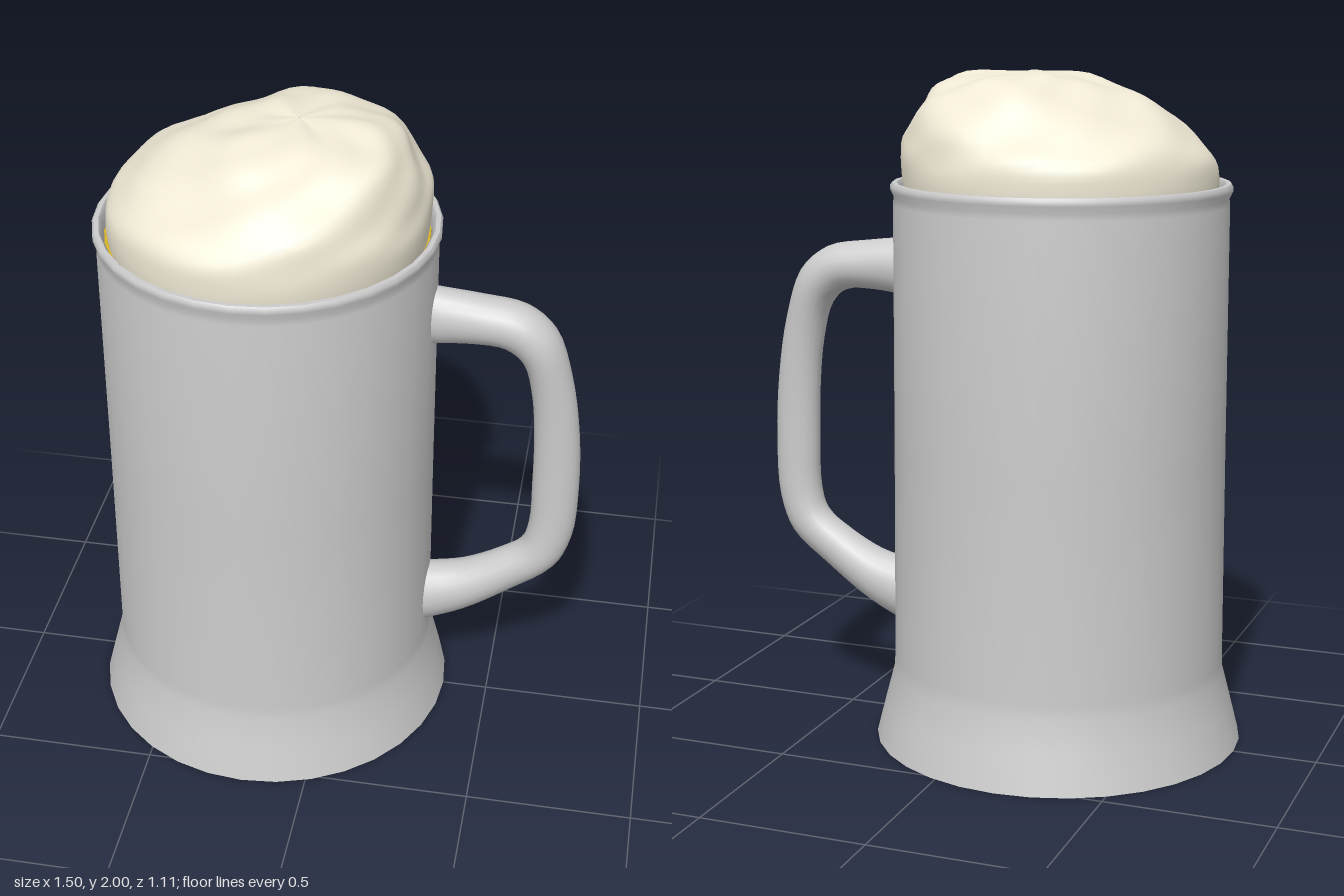
import * as THREE from 'three';
import { toCreasedNormals } from 'three/addons/utils/BufferGeometryUtils.js';

const CENTER_X = -0.195; // axis of the glass

function part(name, geometry, color = 0xcccccc) {
  const mesh = new THREE.Mesh(geometry, new THREE.MeshStandardMaterial({ color }));
  mesh.name = name;
  return mesh;
}

// Smooth skin over closed rings of points
function loft(rows, cols, pointAt) {
  const pos = [], index = [];
  for (let i = 0; i <= rows; i++) {
    for (let j = 0; j < cols; j++) {
      pos.push(...pointAt(i / rows, (j / cols) * Math.PI * 2));
      if (i === rows) continue;
      const a = i * cols + j, b = i * cols + (j + 1) % cols;
      index.push(a, a + cols, b, b, a + cols, b + cols);
    }
  }
  const geo = new THREE.BufferGeometry();
  geo.setAttribute('position', new THREE.Float32BufferAttribute(pos, 3));
  geo.setIndex(index);
  geo.computeVertexNormals();
  return geo;
}

const curve = (pts) => new THREE.CatmullRomCurve3(pts.map((p) => new THREE.Vector3(...p)));

// Hollow glass with flared foot and small lip
function makeGlass() {
  const profile = [
    [0, 0], [0.555, 0], [0.527, 0.11], [0.501, 0.21], [0.498, 0.25], [0.494, 0.9],
    [0.491, 1.62], [0.489, 1.64], [0.499, 1.66], [0.499, 1.674], [0.493, 1.682],
    [0.48, 1.682], [0.472, 1.67], [0.47, 1.62], [0.47, 0.12], [0, 0.12],
  ].map(([r, y]) => new THREE.Vector2(r, y));
  const mesh = part('glass', toCreasedNormals(new THREE.LatheGeometry(profile, 32), 0.8));
  mesh.position.x = CENTER_X;
  return mesh;
}

function makeBeer() {
  const mesh = part('beer', new THREE.CylinderGeometry(0.466, 0.466, 1.51, 32), 0xd8b428);
  mesh.position.set(CENTER_X, 0.885, 0);
  return mesh;
}

// Lumpy foam leaning toward the handle: each stop is radius, height, ring centre x
function makeFoam() {
  const stops = curve([
    [0.45, 1.6, -0.195], [0.461, 1.69, -0.192], [0.455, 1.76, -0.185], [0.415, 1.825, -0.157],
    [0.34, 1.9, -0.115], [0.265, 1.955, -0.085], [0.16, 1.988, -0.075], [0.001, 2.0, -0.1],
  ]);
  return part('foam', loft(26, 56, (t, a) => {
    const p = stops.getPoint(t);
    const lump = Math.sin(3 * a + 9 * t) * 0.5 + Math.sin(5 * a - 14 * t + 1) * 0.35
      + Math.sin(8 * a + 21 * t + 2) * 0.2;
    const fade = THREE.MathUtils.smoothstep(t, 0.15, 0.5);
    const r = p.x * (1 + 0.035 * lump * fade);
    const y = p.y + 0.012 * lump * fade * Math.min(1, p.x / 0.2);
    return [p.z + r * Math.cos(a), Math.min(y, 2), r * Math.sin(a)];
  }), 0xf0ead6);
}

// Handle: oval sections between an outer and an inner edge (x, y, half width)
function makeHandle() {
  const outer = curve([
    [0.283, 1.5, 0.07], [0.42, 1.485, 0.072], [0.56, 1.46, 0.076], [0.645, 1.39, 0.075],
    [0.7, 1.24, 0.063], [0.733, 1.05, 0.057], [0.745, 0.85, 0.056], [0.735, 0.66, 0.058],
    [0.69, 0.55, 0.063], [0.57, 0.45, 0.066], [0.42, 0.345, 0.075], [0.283, 0.28, 0.082],
  ]);
  const inner = curve([
    [0.283, 1.318, 0], [0.4, 1.333, 0], [0.5, 1.328, 0], [0.555, 1.28, 0],
    [0.585, 1.17, 0], [0.6, 1.02, 0], [0.604, 0.85, 0], [0.602, 0.7, 0],
    [0.58, 0.625, 0], [0.51, 0.57, 0], [0.4, 0.512, 0], [0.283, 0.485, 0],
  ]);
  return part('handle', loft(44, 20, (t, a) => {
    const o = outer.getPoint(t), i = inner.getPoint(t);
    const k = (1 + Math.cos(a)) / 2;
    return [i.x + (o.x - i.x) * k, i.y + (o.y - i.y) * k, -o.z * Math.sin(a)];
  }));
}

export function createModel() {
  const mug = new THREE.Group();
  mug.name = 'beerMug';
  mug.add(makeGlass(), makeBeer(), makeFoam(), makeHandle());
  return mug;
}
